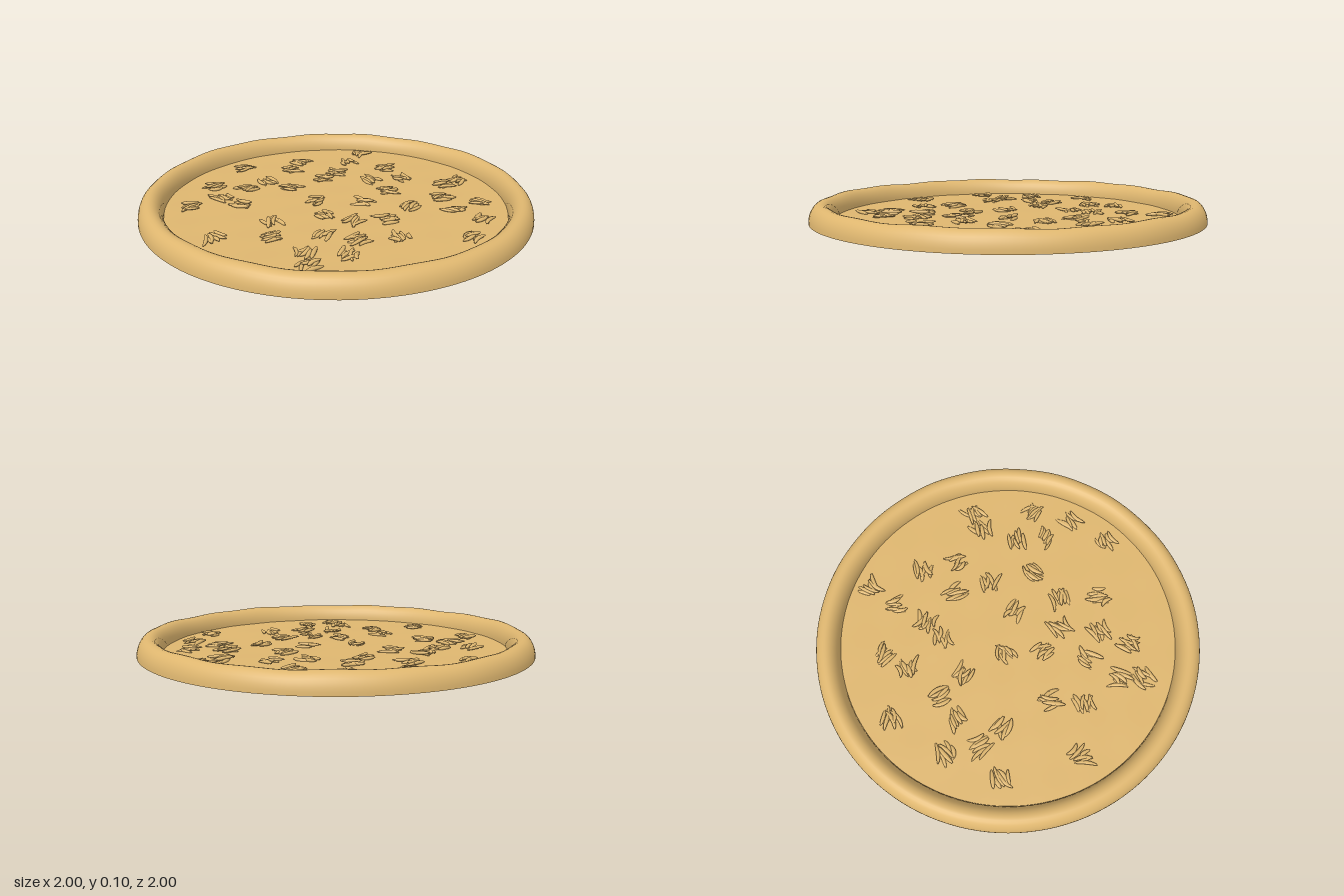
import * as THREE from 'three';
import { mergeGeometries } from 'three/addons/utils/BufferGeometryUtils.js';

// Cluster centres (x, z) and main strand direction in degrees
const CLUSTERS = [
  [0.08, -0.78, 65], [-0.26, -0.6, -25], [0.02, -0.62, -60], [0.25, -0.54, 30],
  [-0.56, -0.47, 25], [-0.3, -0.46, 30], [-0.03, -0.44, -10], [-0.1, -0.33, 15],
  [0.17, -0.33, -50], [0.34, -0.37, -30], [0.57, -0.29, 45], [0.66, -0.37, 55],
  [-0.4, -0.25, -35], [-0.67, -0.15, 35], [-0.49, -0.15, 55], [-0.26, -0.17, -20],
  [0.27, -0.17, 15], [0.55, -0.09, 30], [0.75, -0.04, -30], [-0.61, 0, -35],
  [-0.48, 0.09, -10], [-0.1, 0.01, 40], [0.14, 0, -20], [0.38, 0.05, 50],
  [0.6, 0.06, -25], [-0.74, 0.15, 35], [-0.04, 0.2, -45], [0.11, 0.25, 60],
  [0.27, 0.22, 20], [0.74, 0.17, 40], [-0.29, 0.29, -60], [-0.26, 0.46, 30],
  [-0.02, 0.42, 60], [0.14, 0.46, 40], [0.33, 0.42, -50], [0.66, 0.39, 40],
  [-0.53, 0.5, -55], [-0.09, 0.62, 80], [-0.06, 0.73, 65], [0.1, 0.63, 65],
].map(([x, z, a]) => ({ x, z, angle: THREE.MathUtils.degToRad(a) }));

// Seeded random numbers in -1..1
function makeRandom(seed) {
  return () => {
    seed = (seed * 16807) % 2147483647;
    return (seed / 2147483647) * 2 - 1;
  };
}

// Move each vertex by a rule
function deform(geometry, rule) {
  const p = geometry.attributes.position;
  const v = new THREE.Vector3();
  for (let i = 0; i < p.count; i++) {
    rule(v.fromBufferAttribute(p, i));
    p.setXYZ(i, v.x, v.y, v.z);
  }
  return geometry;
}

// Tapered, slightly curved strand lying along x
function strand(length, width, bend) {
  const g = new THREE.SphereGeometry(1, 10, 8);
  g.rotateZ(Math.PI / 2);
  g.scale(length / 2, width * 0.4, width / 2);
  deform(g, (v) => { v.z += bend * (v.x / length) ** 2; });
  g.computeVertexNormals();
  return g;
}

export function createModel() {
  const model = new THREE.Group();
  const dough = new THREE.MeshStandardMaterial({ color: 0xdeb66f, side: THREE.DoubleSide });
  dough.name = 'bakedDough';

  const add = (name, geometry) => {
    const mesh = new THREE.Mesh(geometry, dough);
    mesh.name = name;
    model.add(mesh);
  };

  // Crust: hollow half-round rim with a gently uneven crest
  const arch = [];
  for (let i = 0; i <= 16; i++) {
    const a = (i / 16) * Math.PI;
    arch.push(new THREE.Vector2(0.9375 + 0.0625 * Math.cos(a), 0.09 * Math.sin(a)));
  }
  const crust = deform(new THREE.LatheGeometry(arch, 128), (v) => {
    const a = Math.atan2(v.z, v.x);
    v.y *= 1 + 0.025 * Math.sin(7 * a) + 0.025 * Math.sin(17 * a + 1);
  });
  add('crust', crust);

  // Base: thin sheet with faint ripples
  const base = new THREE.RingGeometry(0.001, 0.876, 96, 28);
  base.rotateX(-Math.PI / 2);
  deform(base, (v) => {
    v.y = 0.004 + 0.0012 * Math.sin(15 * v.x + 9 * v.z) * Math.sin(17 * v.z - 6 * v.x);
  });
  base.computeVertexNormals();
  add('base', base);

  // Topping: small heaps of shredded strands
  const random = makeRandom(4127);
  for (const { x, z, angle } of CLUSTERS) {
    const strands = [];
    for (let i = 0; i < 6; i++) {
      const g = strand(0.095 + 0.025 * random(), 0.021 + 0.003 * random(), 0.06 * random());
      const turn = angle + 0.5 * random();
      const across = (i - 2.5) * 0.015;
      const along = 0.025 * random();
      g.rotateZ(0.1 * random());
      g.rotateY(turn);
      g.translate(
        x + along * Math.cos(angle) + across * Math.sin(angle),
        0.013 + 0.006 * random(),
        z - along * Math.sin(angle) + across * Math.cos(angle),
      );
      strands.push(g);
    }
    add('shreddedTopping', mergeGeometries(strands));
  }
  return model;
}
